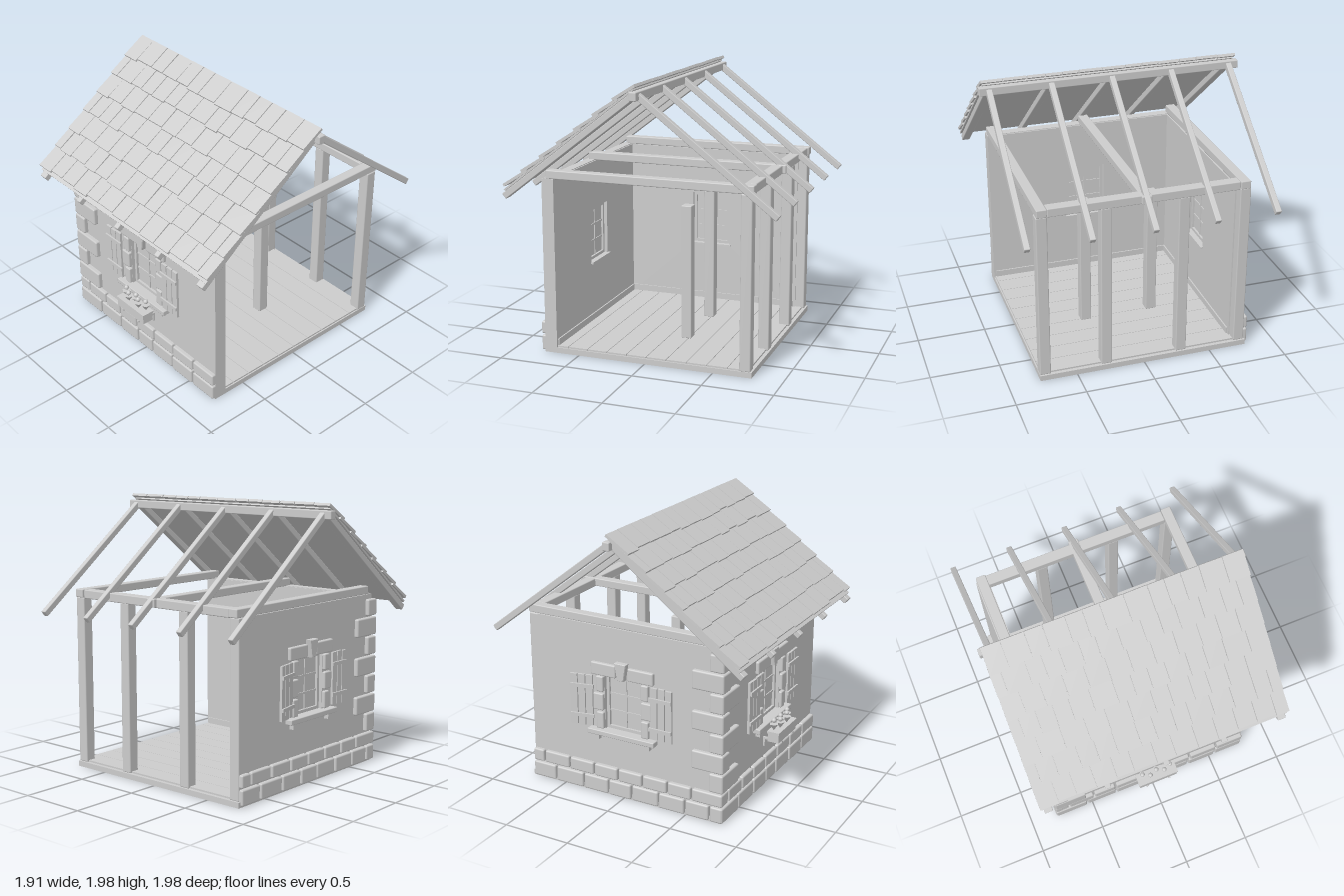
import * as THREE from 'three';
import { mergeGeometries } from 'three/addons/utils/BufferGeometryUtils.js';
import { RoundedBoxGeometry } from 'three/addons/geometries/RoundedBoxGeometry.js';

const clay = new THREE.MeshStandardMaterial({ color: 0xcccccc });
clay.name = 'clay grey';

let seed = 7;
const rand = () => (seed = (seed * 16807) % 2147483647) / 2147483647;

function add(parent, name, geometry) {
  const m = new THREE.Mesh(geometry, clay);
  m.name = name;
  parent.add(m);
  return m;
}

// Box given by its limits on each axis; bevel > 0 softens the edges
function box(parent, name, x0, x1, y0, y1, z0, z1, bevel = 0) {
  const s = [x1 - x0, y1 - y0, z1 - z0];
  const g = bevel ? new RoundedBoxGeometry(...s, 1, bevel) : new THREE.BoxGeometry(...s);
  const m = add(parent, name, g);
  m.position.set((x0 + x1) / 2, (y0 + y1) / 2, (z0 + z1) / 2);
  return m;
}

function group(parent, name) {
  const g = new THREE.Group();
  g.name = name;
  parent.add(g);
  return g;
}

// Wall in its own frame: outer face at z = 0, window opening centred on x = 0
function addWall(parent, name, x0, x1) {
  const wall = group(parent, name);
  const s = new THREE.Shape([[x0, 0.03], [x1, 0.03], [x1, 1.27], [x0, 1.27]].map(p => new THREE.Vector2(...p)));
  s.holes.push(new THREE.Path([[-0.15, 0.505], [-0.15, 0.915], [0.15, 0.915], [0.15, 0.505]].map(p => new THREE.Vector2(...p))));
  add(wall, 'plaster', new THREE.ExtrudeGeometry(s, { depth: 0.09, bevelEnabled: false })).position.z = -0.09;
  box(wall, 'baseboard', x0 + 0.02, x1 - 0.02, 0.05, 0.1, -0.1, -0.085);
  return wall;
}

function addWindow(wall, backTilt) {
  const w = group(wall, 'window');
  // Frame, pane and glazing bars
  for (const s of [-1, 1]) box(w, 'frameSide', s * 0.14 - 0.012, s * 0.14 + 0.012, 0.505, 0.915, -0.065, -0.025);
  box(w, 'frameTop', -0.14, 0.14, 0.89, 0.915, -0.065, -0.025);
  box(w, 'frameBottom', -0.14, 0.14, 0.505, 0.53, -0.065, -0.025);
  box(w, 'pane', -0.14, 0.14, 0.51, 0.91, -0.049, -0.043);
  box(w, 'glazingBar', -0.007, 0.007, 0.52, 0.9, -0.056, -0.036);
  for (const y of [0.645, 0.77]) box(w, 'glazingBar', -0.13, 0.13, y - 0.007, y + 0.007, -0.056, -0.036);
  // Sills and brackets
  box(w, 'sill', -0.27, 0.27, 0.47, 0.508, -0.04, 0.055, 0.006);
  box(w, 'innerSill', -0.165, 0.165, 0.495, 0.508, -0.11, -0.04);
  for (const s of [-1, 1]) {
    box(w, 'sillBracket', s * 0.205 - 0.02, s * 0.205 + 0.02, 0.43, 0.47, -0.01, 0.035);
    // Stones beside and above the opening
    [[0.51, 0.635, 0.21], [0.65, 0.775, 0.235], [0.79, 0.905, 0.21]].forEach(([y0, y1, e]) =>
      box(w, 'jambStone', Math.min(s * 0.152, s * e), Math.max(s * 0.152, s * e), y0, y1, -0.02, 0.025, 0.009));
    box(w, 'lintelStone', Math.min(s * 0.048, s * 0.25), Math.max(s * 0.048, s * 0.25), 0.912, 1.005, -0.02, 0.025, 0.01);
    // Shutters of three boards and two battens, hinged at the inner edge
    const sh = group(w, 'shutter');
    sh.position.set(s * 0.235, 0, 0.015);
    if (s < 0) sh.rotation.y = backTilt;
    for (let i = 0; i < 3; i++) {
      const c = s * (0.026 + i * 0.057);
      box(sh, 'shutterBoard', c - 0.025, c + 0.025, 0.52 + rand() * 0.006, 0.902 + rand() * 0.008, 0, 0.018);
    }
    for (const y of [0.6, 0.823])
      box(sh, 'shutterBatten', Math.min(-s * 0.01, s * 0.165), Math.max(-s * 0.01, s * 0.165), y - 0.013, y + 0.013, 0.016, 0.03);
  }
  const key = new THREE.Shape([[-0.022, 0], [0.022, 0], [0.042, 0.118], [-0.042, 0.118]].map(p => new THREE.Vector2(...p)));
  add(w, 'keystone', new THREE.ExtrudeGeometry(key, { depth: 0.05, bevelSize: 0.004, bevelThickness: 0.006, bevelSegments: 1 }))
    .position.set(0, 0.912, -0.015);
}

// Rows of stones from a list of joints
function stoneRow(wall, joints, y0, y1) {
  for (let i = 0; i < joints.length - 1; i++)
    box(wall, 'baseStone', joints[i] + 0.006, joints[i + 1] - 0.006, y0, y1, -0.03, 0.033 - rand() * 0.006, 0.012);
}

function addFlowerBox(wall) {
  const f = group(wall, 'flowerBox');
  box(f, 'planter', -0.15, 0.15, 0.375, 0.45, 0.06, 0.145);
  box(f, 'planterRim', -0.157, 0.157, 0.44, 0.456, 0.055, 0.15);
  for (const x of [-0.09, 0.09]) {
    box(f, 'bracketArm', x - 0.008, x + 0.008, 0.36, 0.375, 0, 0.15);
    box(f, 'bracketLeg', x - 0.008, x + 0.008, 0.305, 0.37, 0, 0.014);
  }
  for (let i = -2; i <= 2; i++) {
    const z = 0.1 + (i % 2 ? 0.012 : -0.012), x = i * 0.056;
    const leaf = add(f, 'leaves', new THREE.ConeGeometry(0.033, 0.05, 6));
    leaf.position.set(x, 0.478, z);
    leaf.rotation.x = Math.PI;
    add(f, 'flower', new THREE.IcosahedronGeometry(0.018, 1)).position.set(x, 0.52 + rand() * 0.012, z);
  }
}

function addShingles(slope) {
  const parts = [];
  for (let r = 0; r < 7; r++) {
    const end = 1.19 - r * 0.171;
    const cuts = [-0.94];
    let x = -0.94 + (r % 2 ? 0.075 : 0.14);
    while (x < 0.87) { cuts.push(x); x += 0.115 + rand() * 0.06; }
    cuts.push(0.94);
    for (let i = 0; i < cuts.length - 1; i++) {
      const tip = end + (rand() - 0.5) * 0.018, top = Math.max(end - 0.21, -0.03), len = tip - top;
      const g = new THREE.BoxGeometry(cuts[i + 1] - cuts[i] - 0.006, 0.02, len);
      g.translate(0, 0, -len / 2);
      g.rotateX(-0.09 + (rand() - 0.5) * 0.02);
      g.rotateY((rand() - 0.5) * 0.03);
      g.translate((cuts[i] + cuts[i + 1]) / 2, 0.036, tip);
      parts.push(g);
    }
  }
  add(slope, 'shingles', mergeGeometries(parts));
}

export function createModel() {
  const house = new THREE.Group();
  house.name = 'cottage';

  // Floor slab and planks
  box(house, 'floorSlab', -0.78, 0.77, 0, 0.04, -0.78, 0.765);
  for (let i = 0; i < 10; i++) {
    const z = -0.755 + i * 0.149;
    box(house, 'floorPlank', -0.75, 0.76, 0.035, 0.052, z + 0.002, Math.min(z + 0.147, 0.7));
  }

  // Front wall
  const front = addWall(house, 'frontWall', -0.77, 0.77);
  front.position.z = 0.76;
  addWindow(front, 0);
  addFlowerBox(front);
  stoneRow(front, [-0.805, -0.54, -0.295, -0.085, 0.085, 0.315, 0.545, 0.775], 0.01, 0.122);
  stoneRow(front, [-0.8, -0.69, -0.48, -0.3, -0.1, 0.105, 0.325, 0.55, 0.775], 0.132, 0.224);

  // Side wall: its x runs along the model's z
  const side = addWall(house, 'sideWall', -0.7, 0.68);
  side.position.x = -0.77;
  side.rotation.y = -Math.PI / 2;
  addWindow(side, 0.2);
  stoneRow(side, [-0.77, -0.57, -0.33, -0.12, 0.07, 0.29, 0.5, 0.69, 0.795], 0.01, 0.122);
  stoneRow(side, [-0.77, -0.67, -0.45, -0.24, -0.04, 0.16, 0.36, 0.55, 0.795], 0.132, 0.224);

  // Corner stones, long on alternate faces
  for (let i = 0; i < 7; i++) {
    const y = 0.235 + i * 0.146, long = i % 2 === 0;
    box(house, 'cornerStone', -0.8, long ? -0.55 : -0.69, y, Math.min(y + 0.136, 1.235), long ? 0.685 : 0.55, 0.793, 0.012);
  }

  // Posts
  for (const x of [-0.73, -0.28, 0.28, 0.73])
    box(house, 'backPost', x - 0.04, x + 0.04, 0.04, 1.27, -0.77, -0.69, 0.008);
  for (const x of [-0.26, 0.255])
    box(house, 'innerPost', x - 0.04, x + 0.04, 0.05, 1.04, -0.178, -0.1, 0.006);

  // Tie beams, wall plates and ridge
  for (const x of [-0.725, 0, 0.73])
    box(house, 'tieBeam', x - 0.037, x + 0.037, 1.27, 1.33, x ? -0.78 : -0.795, 0.73, 0.007);
  box(house, 'backBeam', -0.69, 0.69, 1.265, 1.328, -0.77, -0.69, 0.007);
  box(house, 'frontPlate', -0.76, 0.76, 1.26, 1.275, 0.68, 0.75);
  box(house, 'ridgeBeam', -0.955, 0.955, 1.87, 1.93, -0.03, 0.025, 0.007);

  // Roof slopes: z runs down the slope, y is its normal
  const makeSlope = (name, turn) => {
    const holder = group(house, name);
    holder.rotation.y = turn;
    const slope = group(holder, name + 'Frame');
    slope.position.y = 1.94;
    slope.rotation.x = Math.atan(0.77);
    for (let i = -2; i <= 2; i++) {
      const x = i * 0.441, w = !turn && Math.abs(i) === 2 ? 0.03 : 0.021;
      box(slope, 'rafter', x - w, x + w, -0.046, 0, 0.02, 1.255, 0.006);
    }
    return slope;
  };
  makeSlope('backRoof', Math.PI);
  const covered = makeSlope('frontRoof', 0);
  box(covered, 'roofBoards', -0.925, 0.925, 0, 0.014, 0, 1.215);
  addShingles(covered);

  return house;
}
